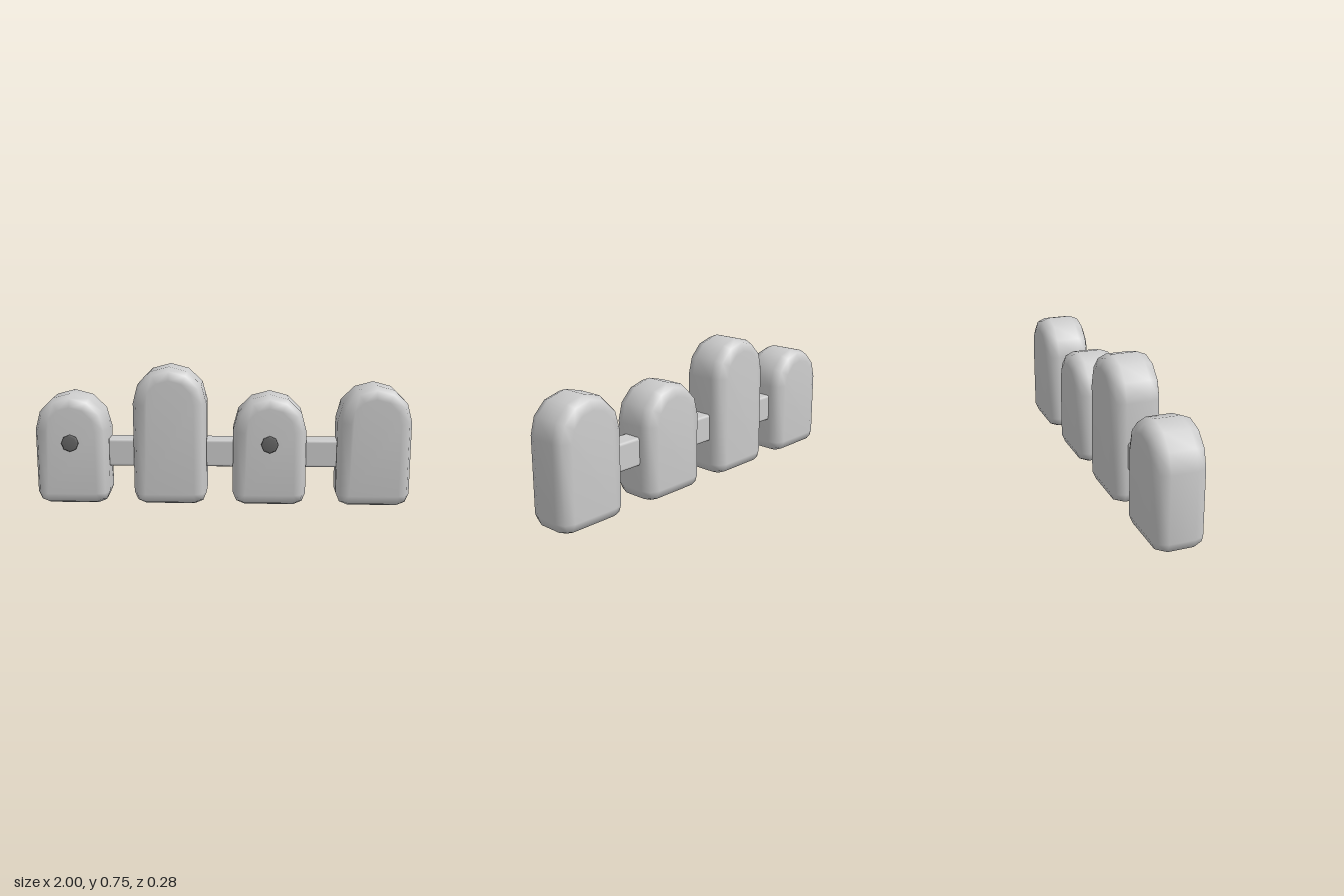
import * as THREE from 'three';
import { mergeVertices } from 'three/addons/utils/BufferGeometryUtils.js';
import { RoundedBoxGeometry } from 'three/addons/geometries/RoundedBoxGeometry.js';

const HALF_WIDTH = 0.195, HALF_DEPTH = 0.13, BEVEL = 0.065, MID_Z = -0.01;

// Arched slab with a soft two-step bevel, standing on y = 0
function picketGeometry(height) {
  const r = HALF_WIDTH - BEVEL, archY = height - HALF_WIDTH;
  // Outline of the flat face: [x, y, direction of the outward bevel]
  const outline = [];
  for (let i = 0; i <= 2; i++) outline.push([-r, BEVEL, Math.PI * (1 + i / 4)]);
  for (let i = 0; i <= 2; i++) outline.push([r, BEVEL, Math.PI * (1.5 + i / 4)]);
  for (let i = 0; i <= 6; i++) {
    const a = Math.PI * i / 6;
    outline.push([r * Math.cos(a), archY + r * Math.sin(a), a]);
  }
  // Rings from the front face round to the back face
  const positions = [], index = [], n = outline.length;
  const core = HALF_DEPTH - BEVEL;
  const rings = [[0, 1], [45, 1], [90, 1], [90, -1], [45, -1], [0, -1]];
  for (const [deg, side] of rings) {
    const t = THREE.MathUtils.degToRad(deg);
    const out = BEVEL * Math.sin(t), z = side * (core + BEVEL * Math.cos(t));
    for (const [x, y, a] of outline) {
      positions.push(x + out * Math.cos(a), y + out * Math.sin(a), z);
    }
  }
  for (let k = 0; k < rings.length - 1; k++) {
    for (let i = 0; i < n; i++) {
      const a = k * n + i, b = k * n + (i + 1) % n;
      index.push(a, a + n, b, b, a + n, b + n);
    }
  }
  // Flat front and back faces
  const last = (rings.length - 1) * n;
  for (let i = 1; i < n - 1; i++) {
    index.push(0, i, i + 1, last, last + i + 1, last + i);
  }
  let geometry = new THREE.BufferGeometry();
  geometry.setAttribute('position', new THREE.Float32BufferAttribute(positions, 3));
  geometry.setIndex(index);
  geometry = mergeVertices(geometry, 1e-5);
  geometry.computeVertexNormals();
  return geometry;
}

export function createModel() {
  const group = new THREE.Group();
  const paleGrey = new THREE.MeshStandardMaterial({ color: 0xcccccc });
  paleGrey.name = 'paleGrey';
  const darkGrey = new THREE.MeshStandardMaterial({ color: 0x666666 });
  darkGrey.name = 'darkGrey';

  const add = (name, geometry, material, x, y, z) => {
    const mesh = new THREE.Mesh(geometry, material);
    mesh.name = name;
    mesh.position.set(x, y, z);
    group.add(mesh);
    return mesh;
  };

  // Four pickets of differing height
  const pickets = [[-0.803, 0.6], [-0.28, 0.745], [0.25, 0.6], [0.803, 0.652]];
  pickets.forEach(([x, h], i) => add('picket' + (i + 1), picketGeometry(h), paleGrey, x, 0, MID_Z));

  // Rail running through all the pickets
  add('rail', new RoundedBoxGeometry(1.6, 0.15, 0.11, 1, 0.015), paleGrey, 0, 0.275, -0.013);

  // Eight-sided nail heads with a small chamfer
  const profile = [[0, -0.01], [0.045, -0.01], [0.045, 0.014], [0.038, 0.02], [0, 0.02]]
    .map(([x, y]) => new THREE.Vector2(x, y));
  const nail = new THREE.LatheGeometry(profile, 8);
  nail.rotateX(Math.PI / 2);
  add('nailRight', nail, darkGrey, -0.803, 0.346, 0.12);
  add('nailLeft', nail, darkGrey, 0.25, 0.346, 0.12);

  return group;
}
